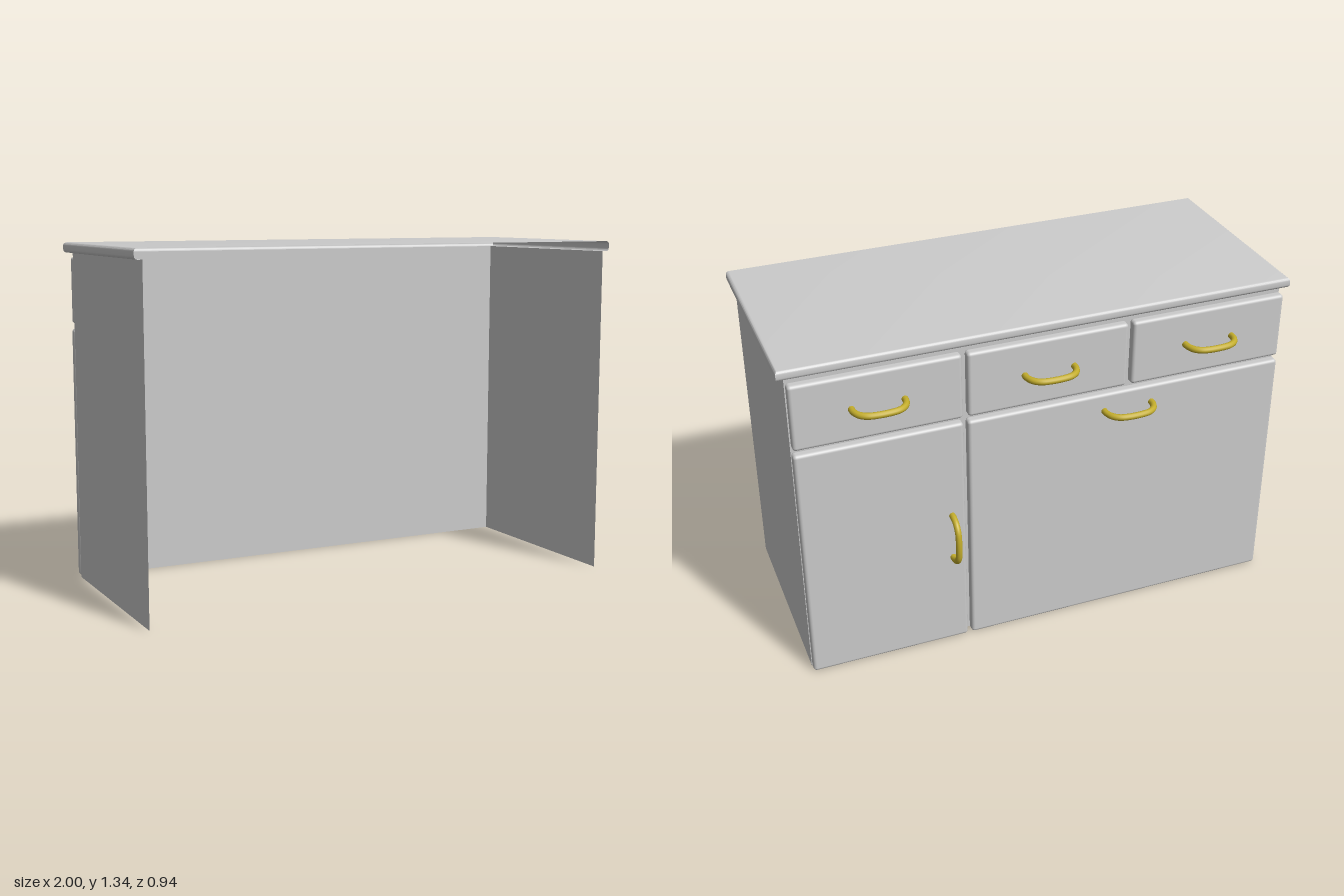
import * as THREE from 'three';
import { RoundedBoxGeometry } from 'three/addons/geometries/RoundedBoxGeometry.js';
import { toCreasedNormals } from 'three/addons/utils/BufferGeometryUtils.js';

const grey = new THREE.MeshStandardMaterial({ color: 0xcccccc });
const sheet = new THREE.MeshStandardMaterial({ color: 0xcccccc, side: THREE.DoubleSide });
const brass = new THREE.MeshStandardMaterial({ color: 0xc4ae2c });

const OPEN_Z = 0.47, WALL_Z = -0.341, PANEL_BACK = -0.343, PANEL_FACE = -0.385;

function add(parent, name, geometry, material, x = 0, y = 0, z = 0) {
  const mesh = new THREE.Mesh(geometry, material);
  mesh.name = name;
  mesh.position.set(x, y, z);
  parent.add(mesh);
  return mesh;
}

// Worktop shell: a rounded lip along three sides, open along the fourth
function worktopGeometry() {
  const y0 = 1.3, y1 = 1.34, r = 0.012, steps = 4;
  const profile = []; // [inset, height], from the top face round to the underside
  for (let i = 0; i <= steps; i++) {
    const a = (i / steps) * Math.PI / 2;
    profile.push([r - r * Math.sin(a), y1 - r + r * Math.cos(a)]);
  }
  for (let i = 0; i <= steps; i++) {
    const a = (i / steps) * Math.PI / 2;
    profile.push([r - r * Math.cos(a), y0 + r - r * Math.sin(a)]);
  }
  profile.push([0.03, y0]);
  const positions = [], index = [];
  for (const [d, y] of profile) {
    const x = 1 - d, z = -0.366 + d;
    positions.push(x, y, OPEN_Z, x, y, z, -x, y, z, -x, y, OPEN_Z);
  }
  index.push(0, 1, 2, 0, 2, 3);
  for (let i = 0; i < profile.length - 1; i++) {
    for (let j = 0; j < 3; j++) {
      const a = i * 4 + j, b = a + 1, c = a + 4, d = a + 5;
      index.push(a, c, b, b, c, d);
    }
  }
  const g = new THREE.BufferGeometry();
  g.setAttribute('position', new THREE.Float32BufferAttribute(positions, 3));
  g.setIndex(index);
  return toCreasedNormals(g, Math.PI / 5);
}

// Door or drawer front with softened edges
function addPanel(parent, name, x0, x1, y0, y1) {
  const depth = PANEL_BACK - PANEL_FACE;
  add(parent, name, new RoundedBoxGeometry(x1 - x0, y1 - y0, depth, 3, 0.013), grey,
    (x0 + x1) / 2, (y0 + y1) / 2, (PANEL_BACK + PANEL_FACE) / 2);
}

// D-shaped pull, standing out towards -z
const half = [[0.098, 0.008], [0.097, -0.02], [0.085, -0.048], [0.062, -0.066], [0.03, -0.073]];
const pullPoints = [
  ...half.map(([x, z]) => new THREE.Vector3(-x, 0, z)),
  ...half.slice().reverse().map(([x, z]) => new THREE.Vector3(x, 0, z)),
];
const pullGeometry = new THREE.TubeGeometry(new THREE.CatmullRomCurve3(pullPoints), 40, 0.0125, 12);

function addHandle(parent, name, x, y, vertical = false) {
  const handle = add(parent, name, pullGeometry, brass, x, y, PANEL_FACE);
  if (vertical) handle.rotation.z = Math.PI / 2;
}

export function createModel() {
  const model = new THREE.Group();
  model.name = 'kitchenCabinet';

  add(model, 'worktop', worktopGeometry(), sheet);

  // Thin carcass: two sides and the wall behind the doors
  const depth = OPEN_Z - WALL_Z;
  for (const [name, s] of [['leftSide', 1], ['rightSide', -1]]) {
    const side = add(model, name, new THREE.PlaneGeometry(depth, 1.3), sheet,
      s * 0.97, 0.65, (OPEN_Z + WALL_Z) / 2);
    side.rotation.y = s * Math.PI / 2;
  }
  const wall = add(model, 'wallBehindDoors', new THREE.PlaneGeometry(1.94, 1.3), sheet, 0, 0.65, WALL_Z);
  wall.rotation.y = Math.PI;

  // Three drawers
  for (let i = -1; i <= 1; i++) {
    const x = i * 0.652;
    addPanel(model, 'drawerFront', x - 0.316, x + 0.316, 1.02, 1.283);
    addHandle(model, 'drawerHandle', x, 1.152);
  }

  // Wide and narrow doors
  addPanel(model, 'wideDoor', -0.97, 0.318, 0.003, 1.0);
  addHandle(model, 'wideDoorHandle', -0.326, 0.928);
  addPanel(model, 'narrowDoor', 0.335, 0.97, 0.003, 1.0);
  addHandle(model, 'narrowDoorHandle', 0.39, 0.503, true);

  return model;
}
